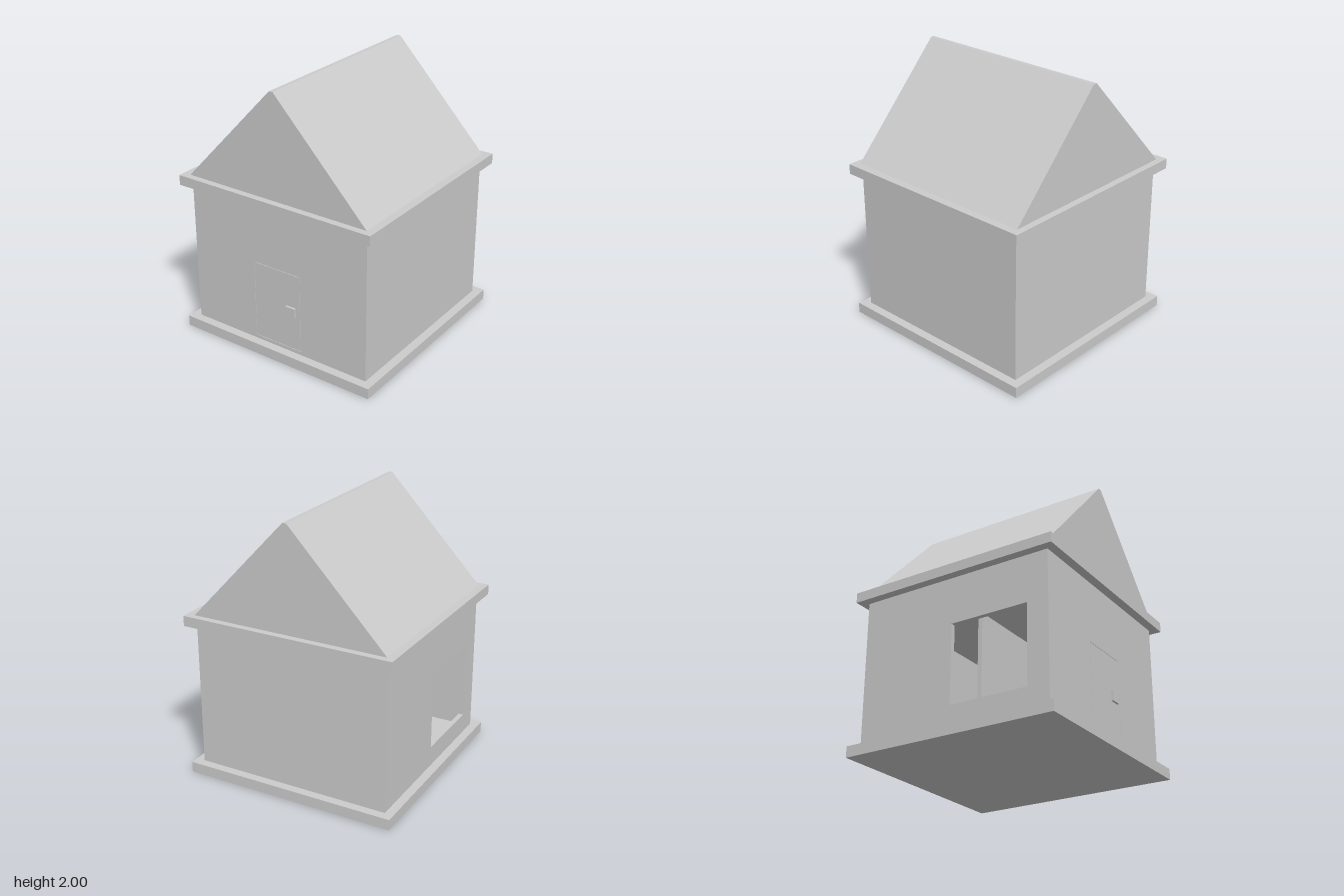
import * as THREE from 'three';

const HALF = 0.74;      // outer half-width of the walls
const THICK = 0.035;    // wall thickness
const FLOOR = 0.08;
const CEILING = 1.155;

export function createModel() {
  const house = new THREE.Group();
  house.name = 'house';
  const material = new THREE.MeshStandardMaterial({ color: 0xcccccc, flatShading: true });

  const add = (name, geometry) => {
    const mesh = new THREE.Mesh(geometry, material);
    mesh.name = name;
    house.add(mesh);
    return mesh;
  };

  // Box given by its minimum and maximum corners
  const box = (name, [x0, y0, z0], [x1, y1, z1]) => {
    const mesh = add(name, new THREE.BoxGeometry(x1 - x0, y1 - y0, z1 - z0));
    mesh.position.set((x0 + x1) / 2, (y0 + y1) / 2, (z0 + z1) / 2);
    return mesh;
  };

  const outline = (points) => points.map(([a, b]) => new THREE.Vector2(a, b));
  const rect = (a0, b0, a1, b1) => outline([[a0, b0], [a1, b0], [a1, b1], [a0, b1]]);

  // Upright wall panel with a rectangular opening, extruded along +z
  const wallWithOpening = (name, halfWidth, opening) => {
    const shape = new THREE.Shape(rect(-halfWidth, FLOOR, halfWidth, CEILING));
    shape.holes.push(new THREE.Path(rect(...opening)));
    return add(name, new THREE.ExtrudeGeometry(shape, { depth: THICK, bevelEnabled: false }));
  };

  // Base and ceiling slabs
  box('baseSlab', [-0.805, 0, -0.805], [0.805, FLOOR, 0.805]);
  box('ceilingSlab', [-0.805, CEILING, -0.805], [0.805, 1.23, 0.805]);

  // Plain front and left walls
  const inner = HALF - THICK;
  box('frontWall', [-HALF, FLOOR, inner], [HALF, CEILING, HALF]);
  box('leftWall', [inner, FLOOR, -inner], [HALF, CEILING, inner]);

  // Back wall with the window opening
  wallWithOpening('backWall', HALF, [-0.58, 0.23, 0.01, 0.81]).position.z = -HALF;

  // Right wall with the doorway; its local x runs along the world's z
  const doorWall = wallWithOpening('rightWall', inner, [-0.203, 0.107, 0.193, 0.703]);
  doorWall.rotation.y = -Math.PI / 2;
  doorWall.position.x = -inner;

  // Door and its handle
  box('door', [-HALF, 0.11, -0.2], [-inner, 0.7, 0.19]);
  box('doorHandle', [-0.756, 0.37, 0.075], [-HALF, 0.445, 0.155]);

  // Partition inside, running back from the front wall
  box('partition', [0.14, FLOOR, -0.19], [0.175, CEILING, inner]);

  // Gabled roof with a narrow flat ridge, extruded along the ridge
  const gable = new THREE.Shape(outline([[-0.745, 1.23], [0.745, 1.23], [0.015, 2], [-0.015, 2]]));
  const roof = add('roof', new THREE.ExtrudeGeometry(gable, { depth: 1.51, bevelEnabled: false }));
  roof.rotation.y = Math.PI / 2;
  roof.position.x = -0.755;

  return house;
}
